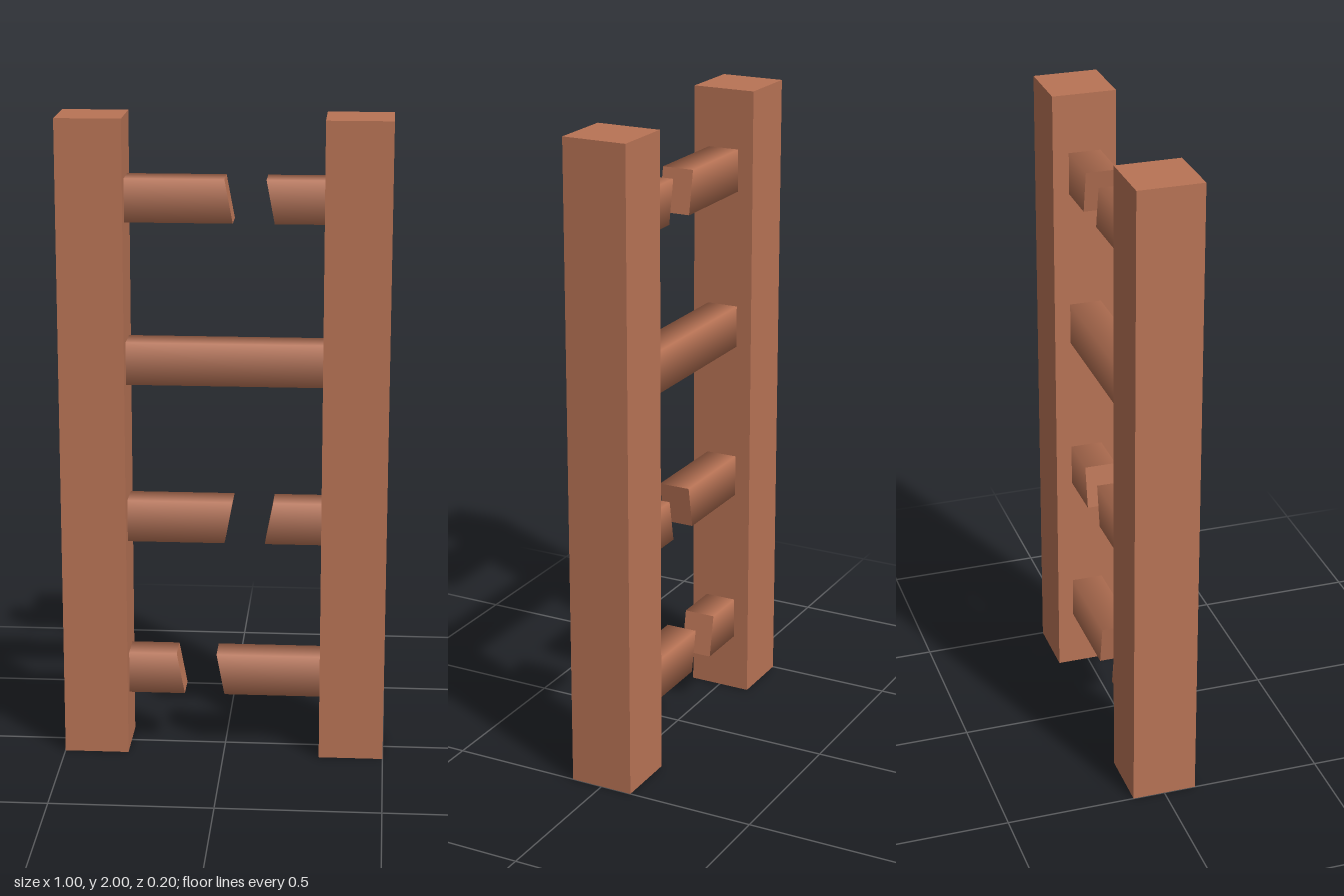
import * as THREE from 'three';

const HALF_H = 0.066, HALF_D = 0.05, INNER = 0.3;

// Rung piece along x; each end is [x at top, x at bottom] so breaks can slant
function rungGeometry(left, right) {
  const geo = new THREE.CylinderGeometry(Math.SQRT2, Math.SQRT2, 2, 4, 1, false, Math.PI / 4);
  geo.rotateZ(-Math.PI / 2);
  geo.scale(1, HALF_H, HALF_D);
  const pos = geo.attributes.position, nor = geo.attributes.normal;
  for (let i = 0; i < pos.count; i++) {
    const side = Math.sign(pos.getX(i));
    const [top, bottom] = side > 0 ? right : left;
    const t = (pos.getY(i) / HALF_H + 1) / 2;
    pos.setX(i, bottom + (top - bottom) * t);
    // tilt the normals of the broken faces
    if (Math.abs(nor.getX(i)) > 0.5) {
      const n = new THREE.Vector3(2 * HALF_H, bottom - top, 0).normalize().multiplyScalar(side);
      nor.setXYZ(i, n.x, n.y, n.z);
    }
  }
  return geo;
}

export function createModel() {
  const model = new THREE.Group();
  model.name = 'brokenLadder';
  const wood = new THREE.MeshStandardMaterial({ color: 0xb87355 });
  wood.name = 'reddish wood';

  const add = (name, geo, x, y) => {
    const mesh = new THREE.Mesh(geo, wood);
    mesh.name = name;
    mesh.position.set(x, y, 0);
    model.add(mesh);
  };

  // Side posts
  add('leftPost', new THREE.BoxGeometry(0.2, 2, 0.2), 0.4, 1);
  add('rightPost', new THREE.BoxGeometry(0.2, 2, 0.2), -0.4, 1);

  // Rungs: height, then the break edges of the two stubs (none for the whole rung)
  const rungs = [
    [0.25, [-0.15, -0.125], [-0.025, 0]],
    [0.75, [0.025, 0], [0.15, 0.125]],
    [1.25],
    [1.75, [0, 0.025], [0.125, 0.15]],
  ];
  const start = [-INNER, -INNER], end = [INNER, INNER];
  rungs.forEach(([y, breakA, breakB], i) => {
    if (!breakA) return add(`rung${i + 1}`, rungGeometry(start, end), 0, y);
    add(`rung${i + 1}RightStub`, rungGeometry(start, breakA), 0, y);
    add(`rung${i + 1}LeftStub`, rungGeometry(breakB, end), 0, y);
  });
  return model;
}
